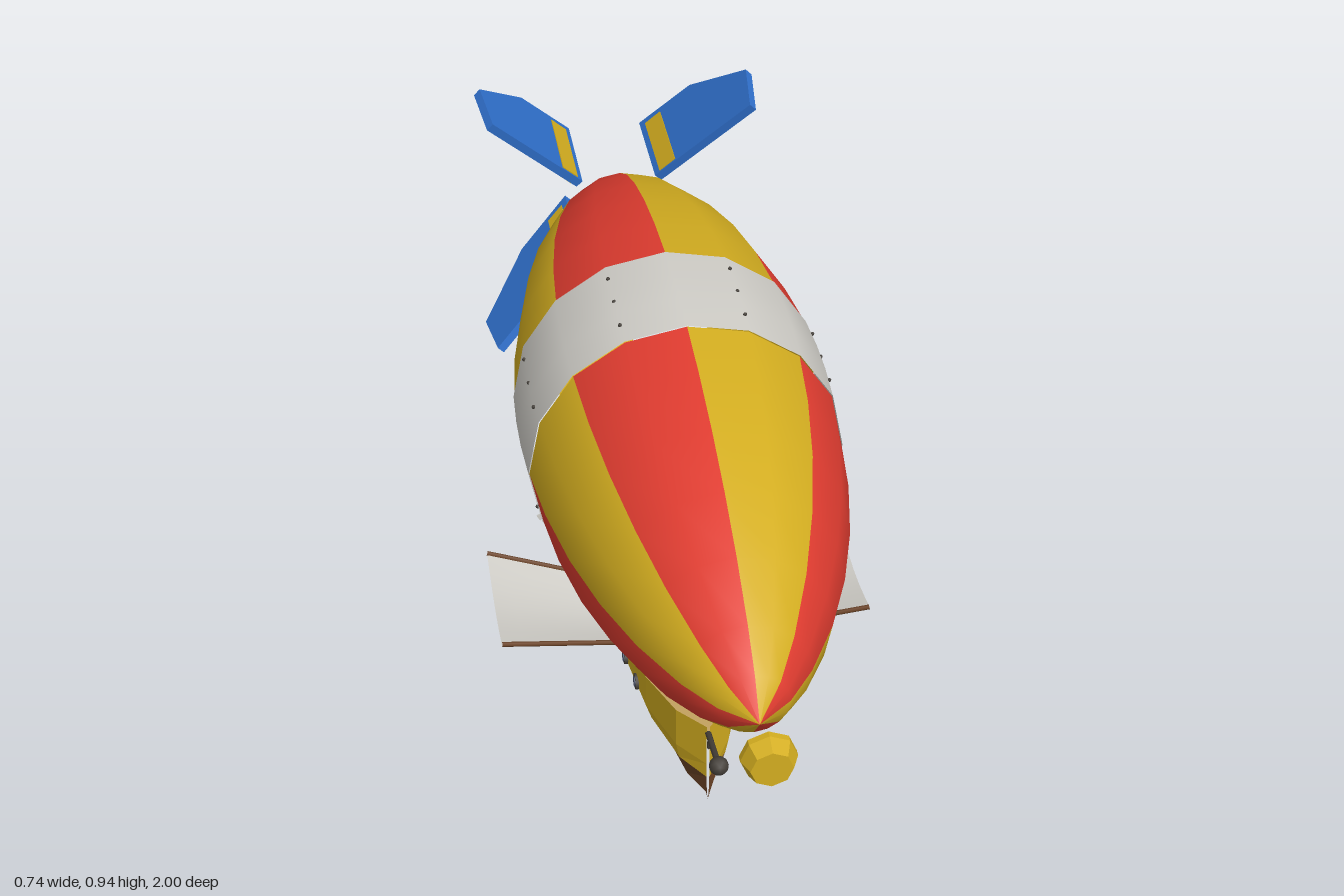
import * as THREE from 'three';

const V = (x, y, z) => new THREE.Vector3(x, y, z);

function material(name, color, double = false) {
  const m = new THREE.MeshStandardMaterial({ color });
  m.name = name;
  if (double) m.side = THREE.DoubleSide;
  return m;
}

// Surface through rows of points; faceted or smooth
function grid(rows, smooth = false) {
  const n = rows[0].length, index = [];
  for (let i = 0; i < rows.length - 1; i++)
    for (let j = 0; j < n - 1; j++) {
      const a = i * n + j, b = a + n;
      index.push(a, b, b + 1, a, b + 1, a + 1);
    }
  let g = new THREE.BufferGeometry().setFromPoints(rows.flat());
  g.setIndex(index);
  if (!smooth) g = g.toNonIndexed();
  g.computeVertexNormals();
  return g;
}

export function createModel() {
  const gold = material('gold', 0xd4ae20, true);
  const red = material('red', 0xe03c30);
  const silver = material('silver', 0xd0cec8, true);
  const blue = material('blue', 0x3070cc);
  const brown = material('brown', 0x6e4528);
  const tan = material('tan', 0xc8a662);
  const slate = material('slate', 0x4d566e);
  const dark = material('dark', 0x45403a);
  const purple = material('purple', 0x8040cc);

  const model = new THREE.Group();
  model.name = 'airship';
  const add = (name, geo, mat, x = 0, y = 0, z = 0, parent = model) => {
    const m = new THREE.Mesh(geo, mat);
    m.name = name;
    m.position.set(x, y, z);
    parent.add(m);
    return m;
  };
  const rod = (name, a, b, r, mat, parent = model) =>
    add(name, new THREE.TubeGeometry(new THREE.LineCurve3(a, b), 1, r, 6), mat, 0, 0, 0, parent);

  // Envelope: eight gores in two colours with a silver band
  const AXIS = 0.635;
  const envelope = new THREE.Group();
  envelope.name = 'envelope';
  envelope.position.y = AXIS;
  model.add(envelope);
  const radius = z => 0.302 * Math.pow(Math.max(0, 1 - ((z - 0.01) / 0.88) ** 2), 0.72);
  const profile = (zs, extra = 0) => zs.map(z => new THREE.Vector2(radius(z) + extra, z));
  const gore = (name, pts, i, mat) => {
    const g = new THREE.LatheGeometry(pts, 2, i * Math.PI / 4, Math.PI / 4);
    add(name, g.rotateX(Math.PI / 2), mat, 0, 0, 0, envelope);
  };
  const tail = profile([-0.87, -0.82, -0.75, -0.64, -0.52, -0.39, -0.25, -0.117]);
  const nose = profile([0.14, 0.27, 0.41, 0.54, 0.66, 0.77, 0.84, 0.89]);
  const belt = profile([-0.117, -0.03, 0.05, 0.14], 0.002);
  for (let i = 0; i < 8; i++) {
    const mat = i % 2 ? gold : red;
    gore('tailGore', tail, i, mat);
    gore('noseGore', nose, i, mat);
    gore('band', belt, i, silver);
    // Studs on the band
    const a = (i + 0.5) * Math.PI / 4;
    for (const z of [-0.07, 0.01, 0.09])
      add('stud', new THREE.SphereGeometry(0.004, 6, 4), dark,
        0.303 * Math.cos(a), 0.303 * Math.sin(a), z, envelope);
  }

  // Nose knob
  const knob = [[0, 0.932], [0.02, 0.935], [0.048, 0.96], [0.048, 0.972], [0.036, 1], [0, 1]];
  const knobGeo = new THREE.LatheGeometry(knob.map(p => new THREE.Vector2(...p)), 8).rotateX(Math.PI / 2).toNonIndexed();
  knobGeo.computeVertexNormals();
  add('noseKnob', knobGeo, gold, 0, AXIS, 0);

  // Four diagonal tail fins with gold stripes
  const plate = (pts, t) => new THREE.ExtrudeGeometry(
    new THREE.Shape(pts.map(p => new THREE.Vector2(...p))), { depth: t, bevelEnabled: false })
    .translate(0, 0, -t / 2);
  for (let k = 0; k < 4; k++) {
    const fin = new THREE.Group();
    fin.name = 'tailFin';
    fin.position.y = AXIS;
    fin.rotation.z = Math.PI / 4 + k * Math.PI / 2;
    model.add(fin);
    add('finPanel', plate([[0.12, -0.765], [0.12, -1], [0.27, -0.96], [0.41, -0.825], [0.39, -0.695]], 0.018)
      .rotateX(Math.PI / 2), blue, 0, 0, 0, fin);
    for (const s of [-1, 1])
      add('finStripe', plate([[0.135, -0.765], [0.135, -0.975], [0.18, -0.965], [0.18, -0.755]], 0.004)
        .rotateX(Math.PI / 2), gold, 0, s * 0.009, 0, fin);
  }

  // Hull stations: z, half width, sheer height, keel height
  const stations = [[0.405, 0.003, 0.195, 0.008], [0.34, 0.052, 0.188, 0.005], [0.22, 0.093, 0.175, 0.003],
    [0.06, 0.114, 0.163, 0], [-0.12, 0.117, 0.16, 0], [-0.3, 0.112, 0.163, 0], [-0.428, 0.098, 0.168, 0.004]];
  const rows = stations.map(([z, w, top, keel]) => {
    const half = [[w, top], [w, 0.1], [0.88 * w, 0.066], [0.58 * w, keel + 0.016]];
    return [...half.map(([x, y]) => V(-x, y, z)), V(0, keel, z),
      ...half.reverse().map(([x, y]) => V(x, y, z))];
  });
  add('hullBottom', grid(rows.map(r => r.slice(2, 7))), brown);
  add('hullLeft', grid(rows.map(r => r.slice(6))), gold);
  add('hullRight', grid(rows.map(r => r.slice(0, 3))), gold);
  add('deck', grid(stations.map(([z, w, top]) => [V(w, top - 0.01, z), V(-w, top - 0.01, z)])), tan);
  add('transom', new THREE.ShapeGeometry(new THREE.Shape(
    rows[6].map(p => new THREE.Vector2(p.x, p.y)))).rotateY(Math.PI), brown, 0, 0, -0.428);

  // Cabin with roof, pole and pennant
  add('cabin', new THREE.BoxGeometry(0.2, 0.1, 0.165), brown, 0, 0.202, -0.282);
  add('cabinRoof', new THREE.BoxGeometry(0.225, 0.012, 0.185), gold, 0, 0.256, -0.28);
  rod('flagPole', V(0, 0.26, -0.28), V(0, 0.368, -0.28), 0.002, dark);
  add('pennant', plate([[0, 0.365], [0.1, 0.345], [0, 0.327]], 0.004).rotateY(Math.PI / 2), blue, 0, 0, -0.28);

  // Bow lantern on a boom
  rod('boom', V(0, 0.175, 0.39), V(0, 0.2, 0.51), 0.006, dark);
  add('lantern', new THREE.IcosahedronGeometry(0.019, 1), dark, 0, 0.201, 0.52);
  rod('bowRope', V(0, 0.18, 0.41), V(0, 0.145, 0.41), 0.003, dark);

  for (const s of [-1, 1]) {
    // Portholes
    for (const z of [0.155, 0.075, -0.01, -0.095, -0.18]) {
      const x = z > 0.1 ? 0.1 : z > 0 ? 0.111 : 0.115;
      add('portholeRim', new THREE.CylinderGeometry(0.017, 0.017, 0.012, 12).rotateZ(Math.PI / 2), dark, s * x, 0.109, z);
      add('portholeGlass', new THREE.CylinderGeometry(0.011, 0.011, 0.016, 12).rotateZ(Math.PI / 2), slate, s * x, 0.109, z);
    }

    // Sagging sail wing between two spars
    const wing = new THREE.Group();
    wing.name = 'sailWing';
    model.add(wing);
    const inner = [V(s * 0.105, 0.165, 0.1), V(s * 0.105, 0.165, -0.1)];
    const outer = [V(s * 0.367, 0.24, 0.155), V(s * 0.367, 0.24, -0.135)];
    const sail = [];
    for (let i = 0; i <= 6; i++) {
      const a = inner[0].clone().lerp(outer[0], i / 6), b = inner[1].clone().lerp(outer[1], i / 6);
      sail.push([0, 1, 2, 3, 4, 5, 6].map(j => {
        const p = a.clone().lerp(b, j / 6);
        p.y -= 0.02 * Math.sin(Math.PI * j / 6);
        return p;
      }));
    }
    add('sail', grid(sail, true), silver, 0, 0, 0, wing);
    for (const j of [0, 1]) rod('spar', inner[j], outer[j], 0.005, brown, wing);

    // Engine pod with six-bladed propeller
    const engine = new THREE.Group();
    engine.name = 'engine';
    engine.position.set(s * 0.176, 0.116, 0);
    model.add(engine);
    const pod = new THREE.CylinderGeometry(0.034, 0.034, 0.115, 10).rotateX(Math.PI / 2).toNonIndexed();
    pod.computeVertexNormals();
    add('pod', pod, slate, 0, 0, -0.373, engine);
    rod('strut', V(-s * 0.085, 0.008, -0.36), V(0, 0.008, -0.36), 0.008, dark, engine);
    add('hub', new THREE.CylinderGeometry(0.012, 0.012, 0.025, 10).rotateX(Math.PI / 2), silver, 0, 0, -0.438, engine);
    for (let k = 0; k < 6; k++)
      add('blade', new THREE.BoxGeometry(0.013, 0.056, 0.005).translate(0, 0.036, 0), silver, 0, 0, -0.44, engine)
        .rotation.z = k * Math.PI / 3;

    // Suspension ropes
    const ropes = [[0.12, 0.39, 0.28, 0.07, 0.18, 0.26], [0.14, 0.365, 0.065, 0.108, 0.155, 0.035],
      [0.14, 0.365, -0.155, 0.108, 0.155, -0.14], [0.13, 0.41, -0.34, 0.105, 0.155, -0.31]];
    for (const [x, y, z, x2, y2, z2] of ropes)
      rod('rope', V(s * x, y, z), V(s * x2, y2, z2), 0.002, silver);
  }

  // Crew
  for (const [x, z, coat] of [[-0.055, 0.16, purple], [0.048, 0.037, purple], [-0.03, -0.085, purple], [0.05, -0.16, red]]) {
    const crew = new THREE.Group();
    crew.name = 'crewMember';
    crew.position.set(x, 0.152, z);
    model.add(crew);
    add('legs', new THREE.CylinderGeometry(0.009, 0.008, 0.034, 8), slate, 0, 0.017, 0, crew);
    add('coat', new THREE.CylinderGeometry(0.01, 0.013, 0.05, 8), coat, 0, 0.059, 0, crew);
    add('head', new THREE.SphereGeometry(0.009, 10, 8), dark, 0, 0.092, 0, crew);
  }
  return model;
}
